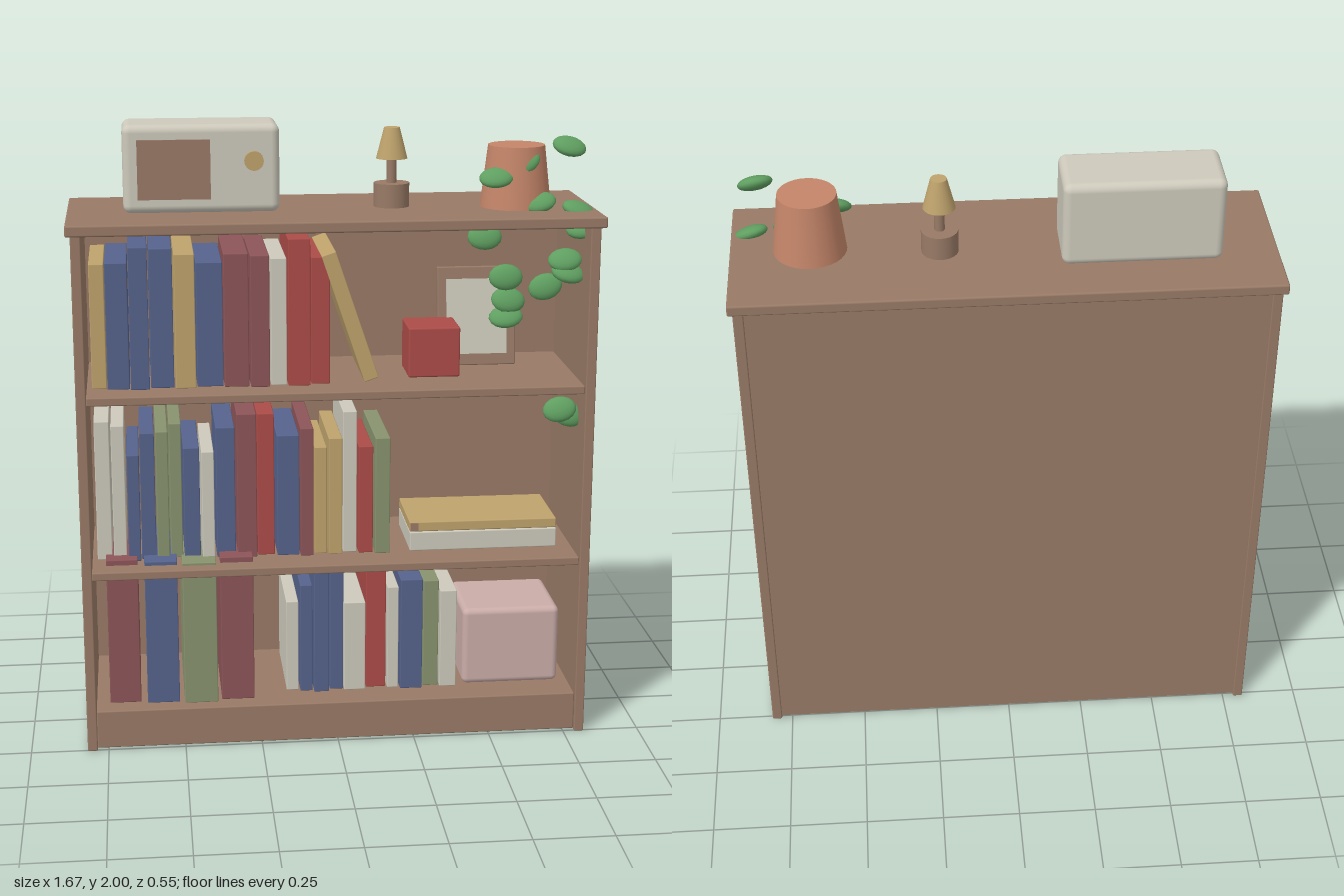
import * as THREE from 'three';
import { RoundedBoxGeometry } from 'three/addons/geometries/RoundedBoxGeometry.js';

const COLORS = {
  wood: 0x987a66, maroon: 0x8c5558, blue: 0x56638c, gold: 0xbea26c, sage: 0x88936e,
  cream: 0xcdc9bb, red: 0xab4c48, pink: 0xcaaca8, terracotta: 0xc48569, leaf: 0x5f9e60,
};

export function createModel() {
  const root = new THREE.Group();
  root.name = 'bookcase';
  const mats = {};
  for (const [name, color] of Object.entries(COLORS)) {
    mats[name] = new THREE.MeshStandardMaterial({ color });
    mats[name].name = name;
  }

  const add = (name, geo, mat, x, y, z, parent = root) => {
    const m = new THREE.Mesh(geo, mats[mat]);
    m.name = name;
    m.position.set(x, y, z);
    parent.add(m);
    return m;
  };
  // Box given by its extents, with optional rounded edges
  const box = (name, mat, [x0, x1], [y0, y1], [z0, z1], r = 0, parent = root) => {
    const s = [x1 - x0, y1 - y0, z1 - z0];
    const geo = r ? new RoundedBoxGeometry(...s, 3, r) : new THREE.BoxGeometry(...s);
    return add(name, geo, mat, (x0 + x1) / 2, (y0 + y1) / 2, (z0 + z1) / 2, parent);
  };

  // Carcass
  box('topBoard', 'wood', [-0.833, 0.833], [1.69, 1.725], [-0.277, 0.277], 0.006);
  for (const s of [-1, 1]) {
    box('sidePanel', 'wood', s < 0 ? [-0.818, -0.786] : [0.786, 0.818], [0, 1.69], [-0.265, 0.258], 0.004);
  }
  box('backPanel', 'wood', [-0.786, 0.786], [0.01, 1.69], [-0.258, -0.235]);
  box('plinth', 'wood', [-0.786, 0.786], [0.005, 0.132], [-0.25, 0.246], 0.004);
  for (const y of [0.607, 1.181]) {
    box('shelf', 'wood', [-0.786, 0.786], [y - 0.027, y], [-0.235, 0.246], 0.004);
  }

  // Rows of books: [left, right, top, colour]
  const bookRow = (name, base, front, back, books) => {
    const row = new THREE.Group();
    row.name = name;
    root.add(row);
    books.forEach(([x0, x1, top, mat], i) => {
      const f = front + 0.012 * (((i * 7) % 5) / 2 - 1);
      box('book', mat, [x0, x1], [base, top], [back, f], 0.003, row);
    });
  };
  bookRow('upperBooks', 1.181, 0.145, -0.21, [
    [-0.769, -0.722, 1.58, 'gold'], [-0.72, -0.65, 1.585, 'blue'], [-0.647, -0.587, 1.635, 'blue'],
    [-0.583, -0.51, 1.627, 'blue'], [-0.505, -0.441, 1.61, 'gold'], [-0.437, -0.354, 1.58, 'blue'],
    [-0.351, -0.273, 1.608, 'maroon'], [-0.268, -0.208, 1.603, 'maroon'], [-0.203, -0.153, 1.59, 'cream'],
    [-0.149, -0.079, 1.652, 'red'], [-0.075, -0.016, 1.59, 'red'],
  ]);
  bookRow('middleBooks', 0.607, 0.13, -0.21, [
    [-0.769, -0.721, 1.07, 'cream'], [-0.716, -0.674, 1.058, 'cream'], [-0.668, -0.629, 0.963, 'blue'],
    [-0.626, -0.579, 1.03, 'blue'], [-0.575, -0.536, 1.037, 'sage'], [-0.532, -0.493, 1.058, 'sage'],
    [-0.488, -0.436, 0.979, 'blue'], [-0.43, -0.39, 0.968, 'cream'], [-0.383, -0.322, 1.042, 'blue'],
    [-0.316, -0.253, 1.088, 'maroon'], [-0.25, -0.195, 1.083, 'red'], [-0.187, -0.115, 1.012, 'blue'],
    [-0.112, -0.07, 1.037, 'maroon'], [-0.065, -0.025, 0.968, 'gold'], [-0.02, 0.024, 1.0, 'gold'],
    [0.028, 0.073, 1.083, 'cream'], [0.078, 0.125, 0.968, 'red'], [0.131, 0.179, 0.998, 'sage'],
  ]);
  bookRow('tallBinders', 0.132, 0.19, -0.2, [
    [-0.742, -0.641, 0.625, 'maroon'], [-0.62, -0.515, 0.62, 'blue'],
    [-0.499, -0.39, 0.616, 'sage'], [-0.377, -0.27, 0.625, 'maroon'],
  ]);
  bookRow('lowerBooks', 0.132, 0.14, -0.21, [
    [-0.16, -0.12, 0.444, 'cream'], [-0.115, -0.075, 0.504, 'blue'], [-0.07, -0.021, 0.55, 'blue'],
    [-0.017, 0.028, 0.556, 'blue'], [0.03, 0.1, 0.44, 'cream'], [0.104, 0.17, 0.548, 'red'],
    [0.174, 0.211, 0.487, 'cream'], [0.216, 0.289, 0.515, 'blue'], [0.294, 0.345, 0.503, 'sage'],
    [0.349, 0.404, 0.47, 'cream'],
  ]);
  const leaning = add('leaningBook', new RoundedBoxGeometry(0.048, 0.432, 0.35, 2, 0.003), 'gold', 0.049, 1.395, -0.04);
  leaning.rotation.z = 0.325;

  // Objects on the shelves
  box('flatBookLower', 'cream', [0.247, 0.733], [0.607, 0.671], [-0.14, 0.13], 0.004);
  box('flatBookUpper', 'gold', [0.247, 0.733], [0.671, 0.704], [-0.14, 0.125], 0.004);
  box('spineLabel', 'wood', [0.249, 0.275], [0.674, 0.701], [0.122, 0.128]);
  box('redBox', 'red', [0.243, 0.41], [1.181, 1.344], [-0.08, 0.085], 0.006);
  box('storageBox', 'pink', [0.427, 0.75], [0.132, 0.397], [-0.15, 0.14], 0.02);
  const frame = new THREE.Group();
  frame.name = 'pictureFrame';
  frame.position.set(0.488, 1.185, -0.05);
  frame.rotation.x = -0.13;
  root.add(frame);
  box('frameBorder', 'wood', [-0.129, 0.129], [0, 0.325], [-0.025, 0], 0.004, frame);
  box('framePicture', 'cream', [-0.1, 0.1], [0.038, 0.285], [-0.002, 0.004], 0, frame);

  // Radio
  box('radioBody', 'cream', [-0.655, -0.167], [1.725, 2.0], [-0.13, 0.08], 0.025);
  box('radioGrille', 'wood', [-0.61, -0.383], [1.77, 1.955], [0.075, 0.088]);
  add('radioKnob', new THREE.CylinderGeometry(0.03, 0.03, 0.025, 24), 'gold', -0.248, 1.888, 0.086).rotation.x = Math.PI / 2;

  // Small lamp
  add('lampBase', new THREE.CylinderGeometry(0.057, 0.057, 0.075, 24), 'wood', 0.195, 1.7625, -0.01);
  add('lampStem', new THREE.CylinderGeometry(0.016, 0.016, 0.1, 16), 'wood', 0.195, 1.84, -0.01);
  add('lampShade', new THREE.CylinderGeometry(0.025, 0.05, 0.098, 24), 'gold', 0.195, 1.926, -0.01);

  // Plant pot and trailing leaves: [x, y, z, tilt, roll]
  add('plantPot', new THREE.CylinderGeometry(0.09, 0.113, 0.195, 32), 'terracotta', 0.589, 1.8225, 0.024);
  const plant = new THREE.Group();
  plant.name = 'trailingLeaves';
  root.add(plant);
  const leafGeo = new THREE.SphereGeometry(1, 16, 10).scale(0.055, 0.022, 0.042);
  [
    [0.744, 1.921, 0.094, 0.6, -0.2], [0.512, 1.827, 0.105, 0.6, 0.1], [0.6, 1.872, 0.09, 0.9, 0.5],
    [0.648, 1.748, 0.11, 0.6, 0.2], [0.772, 1.725, 0.13, 0.4, -0.3], [0.785, 1.67, 0.138, 0.7, 0.2],
    [0.47, 1.648, 0.15, 1.2, 0], [0.543, 1.515, 0.135, 1.3, 0], [0.733, 1.566, 0.13, 0.8, 0.1],
    [0.742, 1.526, 0.14, 0.6, -0.2], [0.67, 1.483, 0.14, 1.3, 0.3], [0.553, 1.44, 0.13, 1.1, -0.1],
    [0.545, 1.388, 0.14, 0.7, 0.1], [0.723, 1.085, 0.165, 1.1, 0.2], [0.752, 1.066, 0.15, 1.1, -0.4],
  ].forEach(([x, y, z, tilt, roll]) => {
    add('leaf', leafGeo, 'leaf', x, y, z, plant).rotation.set(tilt, 0, roll, 'ZXY');
  });

  return root;
}
